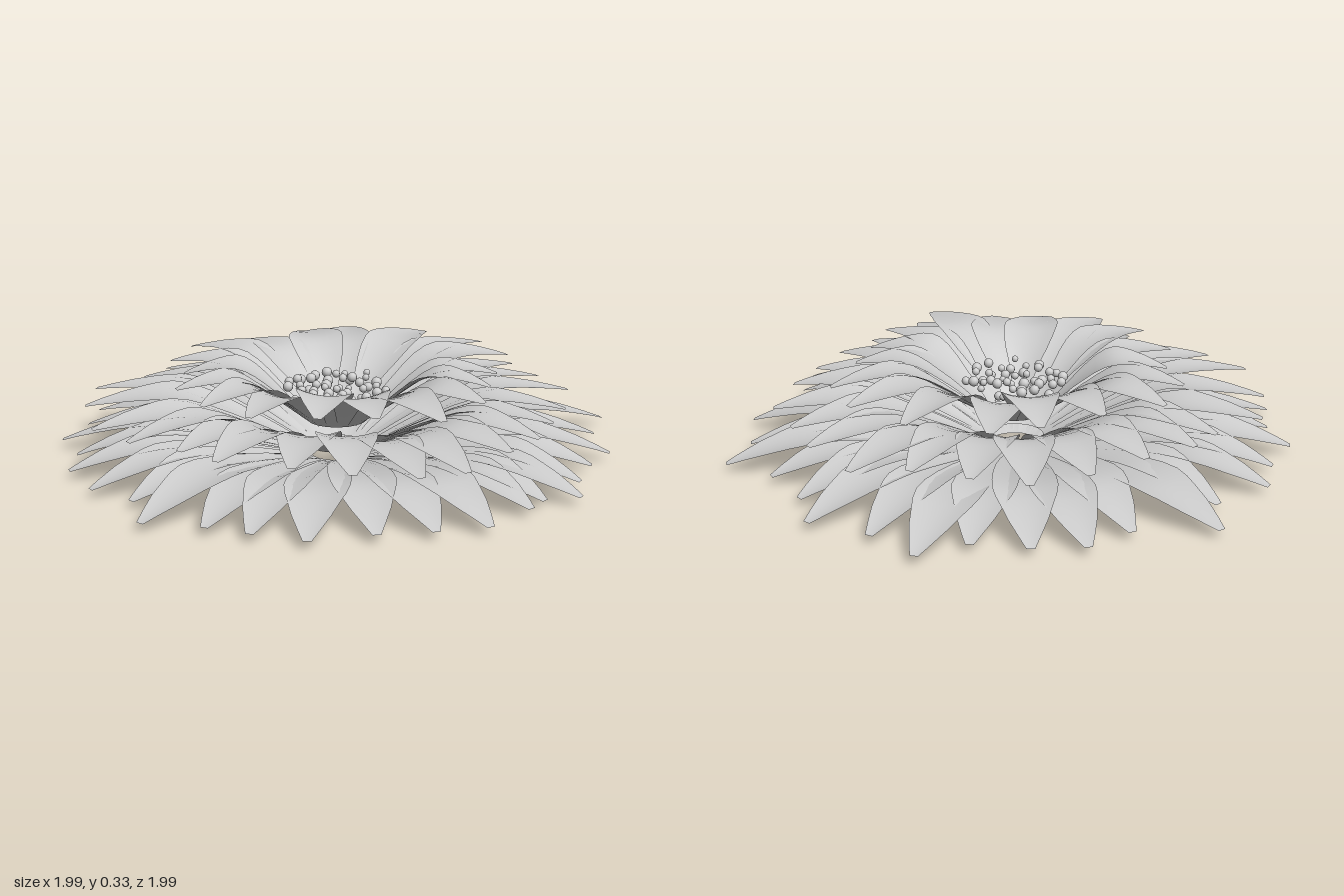
import * as THREE from 'three';

const petalMat = new THREE.MeshStandardMaterial({ color: 0xcccccc, side: THREE.DoubleSide });
petalMat.name = 'pale grey';

// small seeded generator
let seed = 7;
const rand = () => (seed = (seed * 16807) % 2147483647) / 2147483647;
const jitter = (a) => (rand() * 2 - 1) * a;

const CX = 0.01, CZ = 0.04; // flower axis

// half width along a petal: narrow base, broad belly, blunt tip
const widthCurve = new THREE.SplineCurve([[0, 0.2], [0.25, 0.52], [0.5, 0.9], [0.64, 1], [0.8, 0.68], [1, 0.13]]
  .map(([x, y]) => new THREE.Vector2(x, y)));

// one cupped petal swept along an arched (radius, height) profile
function makePetal(angle, length, profile, halfWidth, lift) {
  const curve = new THREE.SplineCurve(profile.map(([r, y]) => new THREE.Vector2(r, y)));
  const r0 = profile[0][0], r1 = profile[profile.length - 1][0];
  const stretch = (length - r0) / (r1 - r0);
  const rows = 12, cols = 6, pos = [], index = [];
  const cos = Math.cos(angle), sin = Math.sin(angle);
  const roll = jitter(0.006);
  for (let i = 0; i <= rows; i++) {
    const t = i / rows, p = curve.getPoint(t);
    const r = r0 + (p.x - r0) * stretch;
    const w = halfWidth * widthCurve.getPoint(t).y;
    for (let j = 0; j <= cols; j++) {
      const s = (j / cols) * 2 - 1;
      const y = p.y + Math.sin(Math.PI * t) * (0.018 * s * s + roll * s + lift);
      pos.push(r * cos - s * w * sin, Math.max(0, y), r * sin + s * w * cos);
      if (i < rows && j < cols) {
        const a = i * (cols + 1) + j, c = a + cols + 1;
        index.push(a, a + 1, c, a + 1, c + 1, c);
      }
    }
  }
  const geo = new THREE.BufferGeometry();
  geo.setAttribute('position', new THREE.Float32BufferAttribute(pos, 3));
  geo.setIndex(index);
  geo.computeVertexNormals();
  return new THREE.Mesh(geo, petalMat);
}

function makeLayer(name, tips, profile, halfWidth) {
  const layer = new THREE.Group();
  layer.name = name;
  tips.forEach(([angle, length], i) => {
    const petal = makePetal(angle, length, profile, halfWidth, (i % 2 ? 0.004 : -0.004) + jitter(0.003));
    petal.name = name + 'Petal';
    layer.add(petal);
  });
  return layer;
}

// evenly spread petals with slightly uneven angles and lengths
const ring = (count, min, max, turn) => Array.from({ length: count }, (_, i) =>
  [((i + turn + jitter(0.2)) / count) * Math.PI * 2, min + (max - min) * rand()]);

export function createModel() {
  const model = new THREE.Group();
  model.name = 'flower';
  const flower = new THREE.Group();
  flower.name = 'blossom';
  flower.position.set(CX, 0, CZ);
  model.add(flower);

  // outer petals, given by the x and z of their tips
  const outerTips = [
    [0.9, -0.5], [0.91, -0.29], [0.995, -0.08], [0.9, 0.09], [0.86, 0.3], [0.91, 0.49], [0.74, 0.59],
    [0.6, 0.77], [0.45, 0.81], [0.29, 0.89], [0.17, 0.99], [0.06, 0.93], [-0.03, 0.95], [-0.25, 0.97],
    [-0.4, 0.88], [-0.55, 0.77], [-0.74, 0.66], [-0.82, 0.49], [-0.88, 0.35], [-0.995, 0.18], [-0.88, 0.0],
    [-0.9, -0.18], [-0.83, -0.38], [-0.7, -0.5], [-0.63, -0.67], [-0.45, -0.75], [-0.31, -0.86],
    [-0.08, -0.85], [0.06, -0.995], [0.28, -0.82], [0.46, -0.81], [0.6, -0.7], [0.72, -0.55],
  ].map(([x, z]) => [Math.atan2(z - CZ, x - CX), Math.hypot(x - CX, z - CZ)]);

  flower.add(makeLayer('outer', outerTips,
    [[0.09, 0], [0.3, 0.045], [0.62, 0.092], [0.8, 0.078], [1, 0.03]], 0.105));
  flower.add(makeLayer('middle', ring(25, 0.72, 0.88, 0.3),
    [[0.1, 0.03], [0.28, 0.11], [0.5, 0.197], [0.66, 0.203], [0.85, 0.178]], 0.1));
  flower.add(makeLayer('inner', ring(18, 0.52, 0.67, 0.1),
    [[0.1, 0.12], [0.24, 0.215], [0.38, 0.292], [0.5, 0.304], [0.66, 0.285]], 0.095));

  // pollen beads spread over the heart in a spiral
  const stamens = new THREE.Group();
  stamens.name = 'stamens';
  const bead = new THREE.SphereGeometry(1, 10, 8);
  const count = 42;
  for (let i = 0; i < count; i++) {
    const r = 0.18 * Math.sqrt((i + 0.5) / count), a = i * 2.39996;
    const mesh = new THREE.Mesh(bead, petalMat);
    mesh.name = 'stamen';
    mesh.scale.setScalar(0.011 + 0.008 * rand());
    mesh.position.set(r * Math.cos(a) + jitter(0.008), 0.235 + jitter(0.015), r * Math.sin(a) + jitter(0.008));
    stamens.add(mesh);
  }
  flower.add(stamens);
  return model;
}
